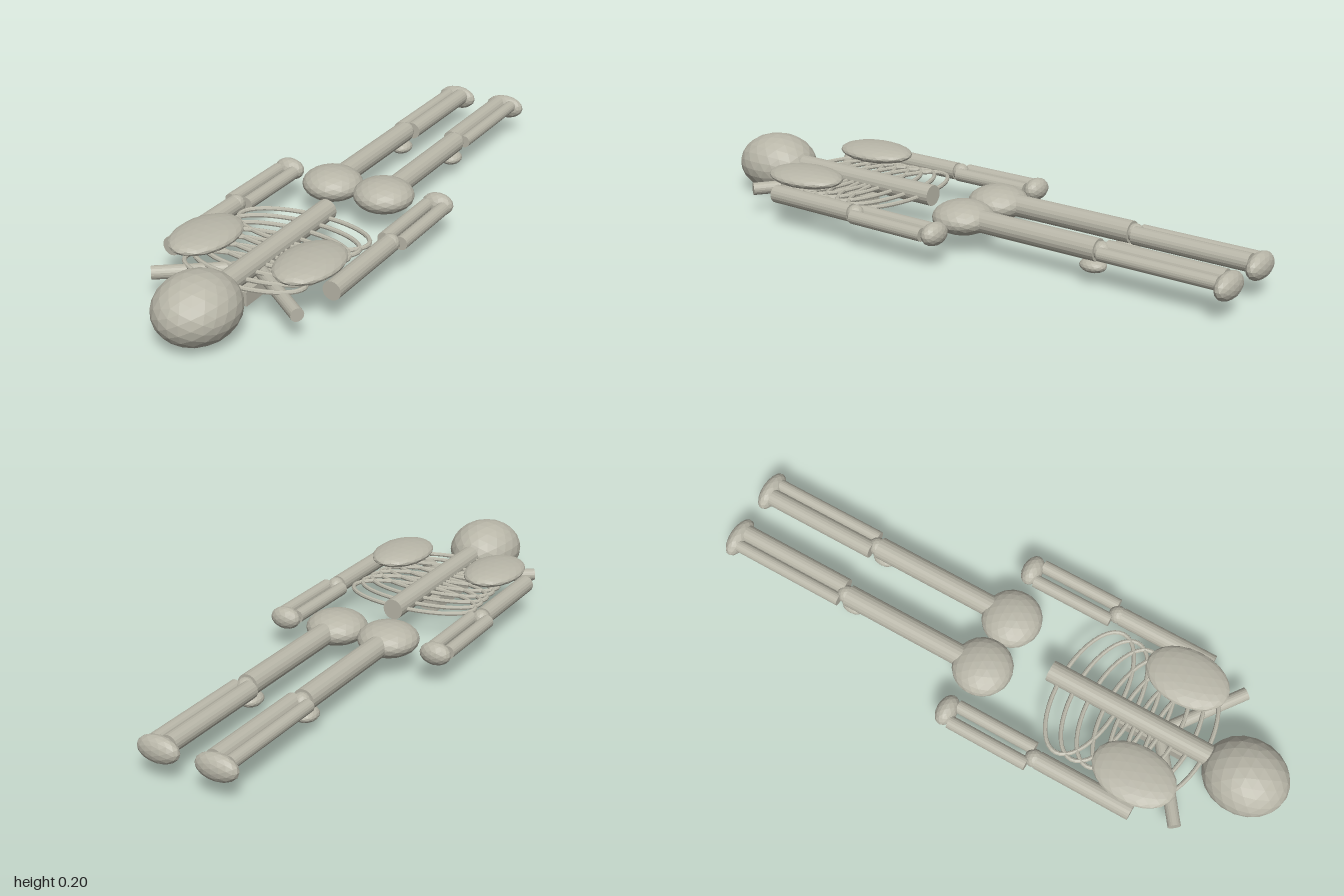
import * as THREE from 'three';

export function createModel() {
  const model = new THREE.Group();
  model.name = 'lyingSkeleton';
  const bone = new THREE.MeshStandardMaterial({ color: 0xb8b6a8, flatShading: true });
  bone.name = 'bone';

  function add(name, geometry, x, y, z) {
    const mesh = new THREE.Mesh(geometry, bone);
    mesh.name = name;
    mesh.position.set(x, y, z);
    model.add(mesh);
    return mesh;
  }
  // Faceted ellipsoid given by centre and half sizes
  function ellipsoid(name, [x, y, z], [rx, ry, rz], detail = 3) {
    return add(name, new THREE.IcosahedronGeometry(1, detail).scale(rx, ry, rz), x, y, z);
  }
  // Straight round bone between two points
  function rod(name, from, to, radius) {
    const a = new THREE.Vector3(...from), b = new THREE.Vector3(...to);
    const dir = b.clone().sub(a);
    const mid = a.clone().add(b).multiplyScalar(0.5);
    const mesh = add(name, new THREE.CylinderGeometry(radius, radius, dir.length(), 20), mid.x, mid.y, mid.z);
    mesh.quaternion.setFromUnitVectors(new THREE.Vector3(0, 1, 0), dir.normalize());
    return mesh;
  }

  // Head and trunk
  ellipsoid('skull', [0, 0.1025, 0.858], [0.125, 0.1025, 0.142]);
  rod('spine', [0, 0.113, 0.16], [0, 0.113, 0.74], 0.035);
  add('sternum', new THREE.BoxGeometry(0.06, 0.046, 0.245), 0, 0.04, 0.54);

  // Flat elliptical rib rings, narrowing towards the neck
  for (let i = 0; i < 7; i++) {
    const t = i / 6;
    const rx = 0.228 - 0.025 * t, rz = 0.103 - 0.013 * t;
    const ring = new THREE.TorusGeometry(1, 0.034, 8, 40).rotateX(Math.PI / 2);
    // keep the tube nearly round while the ring becomes an ellipse
    const p = ring.attributes.position;
    for (let k = 0; k < p.count; k++) {
      const x = p.getX(k), z = p.getZ(k), r = Math.hypot(x, z), tube = (r - 1) * 0.22;
      p.setXYZ(k, (x / r) * (rx + tube), p.getY(k) * 0.22, (z / r) * (rz + tube));
    }
    ring.computeVertexNormals();
    add('rib' + (i + 1), ring, 0, 0.107, 0.303 + 0.322 * t);
  }

  // Paired bones
  for (const [side, s] of [['left', 1], ['right', -1]]) {
    ellipsoid(side + 'ShoulderBlade', [s * 0.181, 0.152, 0.555], [0.096, 0.03, 0.142]);
    rod(side + 'Collarbone', [s * 0.25, 0.089, 0.738], [s * 0.025, 0.089, 0.573], 0.021);
    ellipsoid(side + 'Hip', [s * 0.095, 0.107, -0.037], [0.1, 0.053, 0.1]);

    // Arm
    rod(side + 'UpperArm', [s * 0.278, 0.107, 0.27], [s * 0.278, 0.107, 0.6], 0.03);
    ellipsoid(side + 'Elbow', [s * 0.278, 0.107, 0.255], [0.03, 0.03, 0.03], 2);
    rod(side + 'OuterForearm', [s * 0.307, 0.107, -0.037], [s * 0.307, 0.107, 0.243], 0.022);
    rod(side + 'InnerForearm', [s * 0.249, 0.107, -0.037], [s * 0.249, 0.107, 0.243], 0.022);
    ellipsoid(side + 'Hand', [s * 0.277, 0.107, -0.062], [0.053, 0.037, 0.034], 2);

    // Leg
    rod(side + 'Thigh', [s * 0.098, 0.107, -0.54], [s * 0.098, 0.107, -0.1], 0.036);
    ellipsoid(side + 'Knee', [s * 0.098, 0.107, -0.55], [0.03, 0.03, 0.03], 2);
    ellipsoid(side + 'Kneecap', [s * 0.098, 0.056, -0.523], [0.036, 0.022, 0.044], 2);
    rod(side + 'Shin', [s * 0.077, 0.107, -0.95], [s * 0.077, 0.107, -0.56], 0.029);
    rod(side + 'OuterShin', [s * 0.127, 0.107, -0.95], [s * 0.127, 0.107, -0.56], 0.021);
    ellipsoid(side + 'Foot', [s * 0.098, 0.096, -0.968], [0.071, 0.042, 0.032], 2);
  }
  return model;
}
